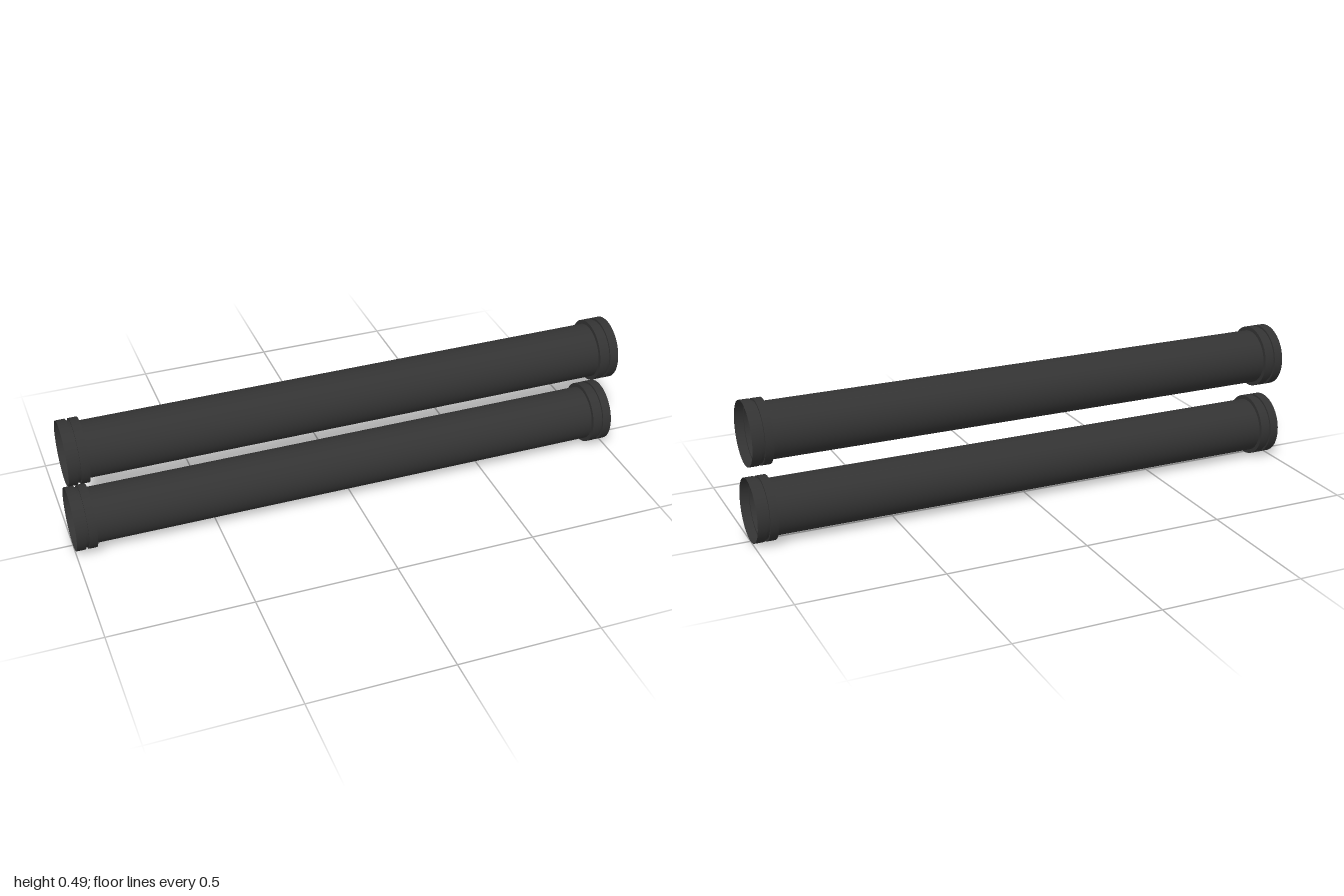
import * as THREE from 'three';
import { toCreasedNormals } from 'three/addons/utils/BufferGeometryUtils.js';

const PIPE_R = 0.097, COLLAR_R = 0.111, GROOVE_R = 0.104, SIDES = 48;

// Thin-walled surface of revolution along x; points are [x, radius]
function revolve(name, points, material) {
  const lathe = new THREE.LatheGeometry(points.map(([x, r]) => new THREE.Vector2(r, x)), SIDES);
  lathe.rotateZ(-Math.PI / 2);
  const mesh = new THREE.Mesh(toCreasedNormals(lathe, Math.PI / 6), material);
  mesh.name = name;
  return mesh;
}

// Flared end collar with a seal groove, listed from the pipe outwards
const collar = [
  [0.928, PIPE_R], [0.928, COLLAR_R], [0.957, COLLAR_R], [0.957, GROOVE_R],
  [0.968, GROOVE_R], [0.968, COLLAR_R], [1, COLLAR_R],
];

function createPipe(name, y, material) {
  const pipe = new THREE.Group();
  pipe.name = name;
  pipe.position.y = y;
  pipe.add(revolve('pipeWall', [[-0.928, PIPE_R], [0.928, PIPE_R]], material));
  pipe.add(revolve('leftCollar', collar, material));
  // Mirrored collar, reversed so that its faces stay outward
  pipe.add(revolve('rightCollar', collar.map(([x, r]) => [-x, r]).reverse(), material));
  return pipe;
}

export function createModel() {
  const model = new THREE.Group();
  model.name = 'pipePair';
  const material = new THREE.MeshStandardMaterial({ color: 0x333333, side: THREE.DoubleSide });
  model.add(createPipe('lowerPipe', 0.111, material));
  model.add(createPipe('upperPipe', 0.383, material));
  return model;
}
